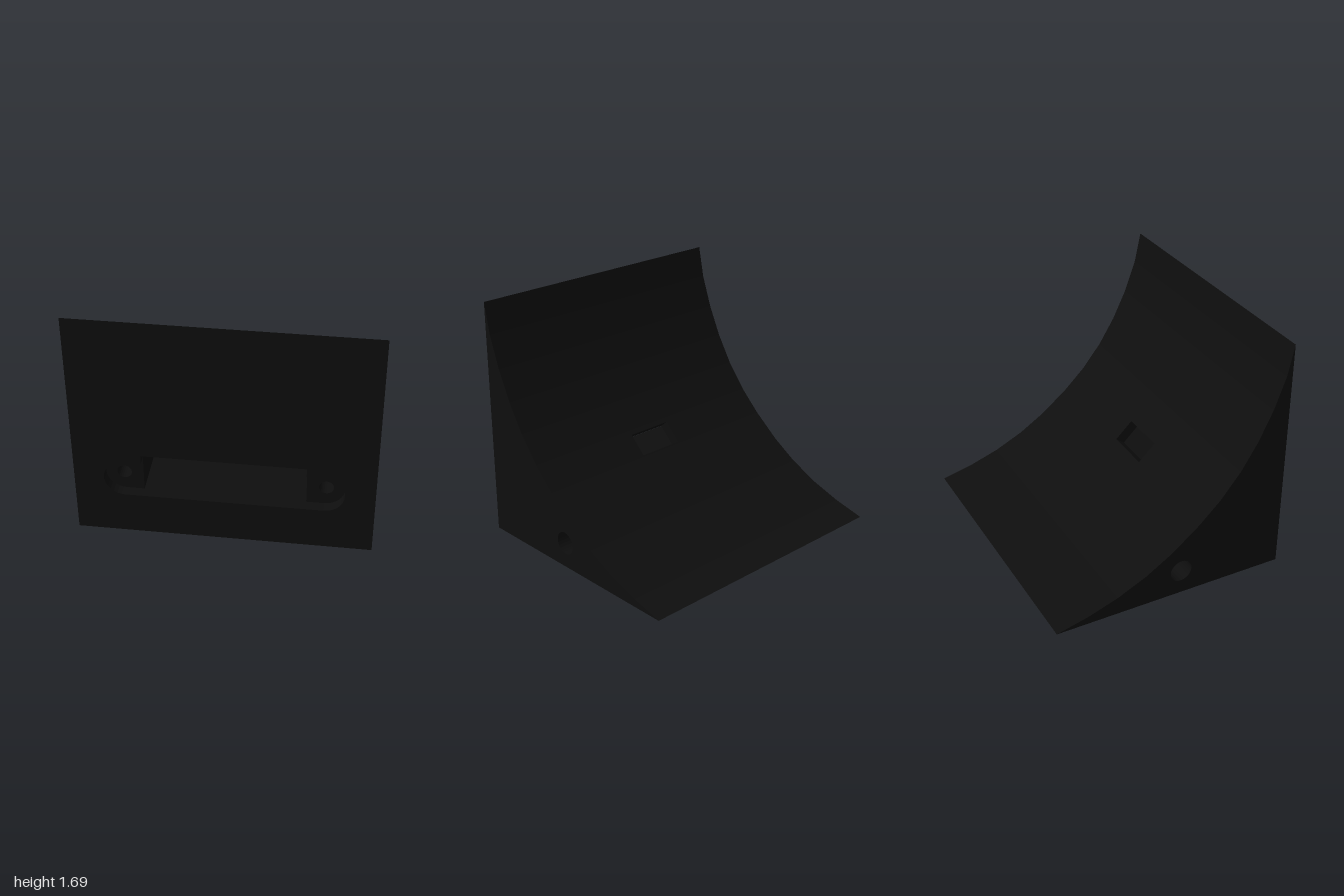
import * as THREE from 'three';

const V = (x, y, z) => new THREE.Vector3(x, y, z);
const P = (x, y) => new THREE.Vector2(x, y);

// Rectangle and circle outlines as 2D points
const rect = (x0, y0, x1, y1) => [P(x0, y0), P(x1, y0), P(x1, y1), P(x0, y1)];
const circle = (cx, cy, r, n = 24) => Array.from({ length: n }, (_, i) =>
  P(cx + r * Math.cos(i / n * Math.PI * 2), cy + r * Math.sin(i / n * Math.PI * 2)));

export function createModel() {
  const group = new THREE.Group();
  const black = new THREE.MeshStandardMaterial({ color: 0x0e0e0e, side: THREE.DoubleSide, flatShading: true });
  black.name = 'black plastic';

  const add = (name, geometry) => {
    const mesh = new THREE.Mesh(geometry, black);
    mesh.name = name;
    group.add(mesh);
  };

  // Flat face with holes, placed in space by a mapping rule
  const plate = (name, outline, holes, map, flip = false) => {
    const shape = new THREE.Shape(outline);
    holes.forEach((h) => shape.holes.push(new THREE.Path(h)));
    let g = new THREE.ShapeGeometry(shape);
    const p = g.attributes.position;
    for (let i = 0; i < p.count; i++) {
      const v = map(p.getX(i), p.getY(i));
      p.setXYZ(i, v.x, v.y, v.z);
    }
    if (flip) g.setIndex(Array.from(g.index.array).reverse());
    g = g.toNonIndexed();
    g.computeVertexNormals();
    add(name, g);
  };

  // Wall joining two rows of points
  const wall = (name, a, b, closed) => {
    const pos = [];
    const n = closed ? a.length : a.length - 1;
    for (let i = 0; i < n; i++) {
      const j = (i + 1) % a.length;
      for (const v of [a[i], b[i], b[j], a[i], b[j], a[j]]) pos.push(v.x, v.y, v.z);
    }
    const g = new THREE.BufferGeometry();
    g.setAttribute('position', new THREE.Float32BufferAttribute(pos, 3));
    g.computeVertexNormals();
    add(name, g);
  };

  // Main dimensions
  const D = 0.845, H = 1.69, recessZ = 0.77;
  const pocketX = 0.545, slotX = 0.17, low = 0.315, mid = 0.59, high = 0.655;

  // Concave ramp profile as (z, y)
  const curve = [[D, H], [0.8, 1.47], [0.72, 1.245], [0.62, 1.035], [0.5, 0.84], [0.355, 0.66],
    [0.2, 0.51], [0, 0.35], [-0.19, 0.23], [-0.4, 0.13], [-0.62, 0.055], [-D, 0]].map(([z, y]) => P(z, y));
  const row = (points, x) => points.map((p) => V(x, p.y, p.x));
  wall('upperRamp', row(curve.slice(0, 6), 1), row(curve.slice(0, 6), -1));
  wall('lowerRamp', row(curve.slice(6), 1), row(curve.slice(6), -1));

  // Sloped band between two profile points, with the slot cut out
  const slopedBand = (name, a, b, halfWidth, t0, t1, flip) => {
    const map = (x, t) => V(x, a.y + (b.y - a.y) * t, a.x + (b.x - a.x) * t);
    const slot = rect(-slotX, t0, slotX, t1);
    plate(name, rect(-halfWidth, 0, halfWidth, 1), [slot], map, flip);
    return slot.map((p) => map(p.x, p.y));
  };
  const backLow = P(0.265, 0.465), backHigh = P(0.46, high);
  const outer = slopedBand('slottedRamp', curve[6], curve[5], 1, 0.05, 0.84, true);
  const inner = slopedBand('pocketBack', backLow, backHigh, pocketX, 0.03, 0.64, false);
  wall('slot', outer, inner, true);

  // Front face with the outline of recess and pocket
  const r = (mid - low) / 2, cy = (mid + low) / 2, cx = 0.8 - r;
  const arc = Array.from({ length: 17 }, (_, i) => {
    const a = Math.PI / 2 - i / 16 * Math.PI;
    return P(cx + r * Math.cos(a), cy + r * Math.sin(a));
  });
  const rightEnd = [P(pocketX, mid), ...arc, P(pocketX, low)];
  const mirrored = (pts) => pts.map((p) => P(-p.x, p.y));
  const opening = [P(-pocketX, high), P(pocketX, high), ...rightEnd, ...mirrored(rightEnd).reverse()];
  plate('frontFace', rect(-1, 0, 1, H), [opening], (x, y) => V(x, y, D));

  // Pocket top, lower back and floor
  const strip = (name, a, b) => wall(name, row([a, b], pocketX), row([a, b], -pocketX));
  strip('pocketTop', backHigh, P(D, high));
  strip('pocketLowerBack', P(0.265, low), backLow);
  strip('pocketFloor', P(D, low), P(0.265, low));

  const wellX = 0.75, wellZ = 0.075, wellHalf = 0.09, wellTop = 0.27;
  const bore = circle(wellZ, 0.18, 0.08);
  for (const s of [1, -1]) {
    const at = (x) => (z, y) => V(s * x, y, z);

    // Side face with round bore
    plate('sideFace', [P(-D, 0), P(D, 0), ...curve.slice(0, -1)], [bore], at(1), s > 0);
    wall('sideBore', row(bore, s), row(bore, s * (wellX + wellHalf)), true);

    // End of the pocket
    plate('pocketEnd', [backHigh, backLow, P(0.265, low), P(recessZ, low), P(recessZ, mid), P(D, mid), P(D, high)],
      [], at(pocketX), s < 0);

    // Shallow rounded recess with screw hole
    const front = (z) => (p) => V(s * p.x, p.y, z);
    const screw = circle(0.675, cy, 0.05);
    plate('recessFloor', rightEnd, [screw], (x, y) => V(s * x, y, recessZ), s < 0);
    wall('recessRim', rightEnd.map(front(D)), rightEnd.map(front(recessZ)));
    wall('screwHole', screw.map(front(recessZ)), screw.map(front(0.45)), true);
    plate('screwHoleEnd', screw, [], (x, y) => V(s * x, y, 0.45), s < 0);

    // Square well under the base, opening into the bore
    const well = rect(wellX - wellHalf, wellZ - wellHalf, wellX + wellHalf, wellZ + wellHalf);
    const level = (y) => (p) => V(s * p.x, y, p.y);
    plate('wellTop', well, [], (x, z) => V(s * x, wellTop, z), s < 0);
    const sides = [1, 2, 3, 0].map((i) => well[i]);
    wall('wellWalls', [sides[1], sides[2], sides[3], sides[0]].map(level(0)),
      [sides[1], sides[2], sides[3], sides[0]].map(level(wellTop)));
    plate('wellBoreWall', rect(wellZ - wellHalf, 0, wellZ + wellHalf, wellTop), [bore], at(wellX + wellHalf), s < 0);
  }

  // Base with the two square openings
  const hole = rect(wellX - wellHalf, wellZ - wellHalf, wellX + wellHalf, wellZ + wellHalf);
  plate('base', rect(-1, -D, 1, D), [hole, mirrored(hole)], (x, z) => V(x, 0, z));

  return group;
}
